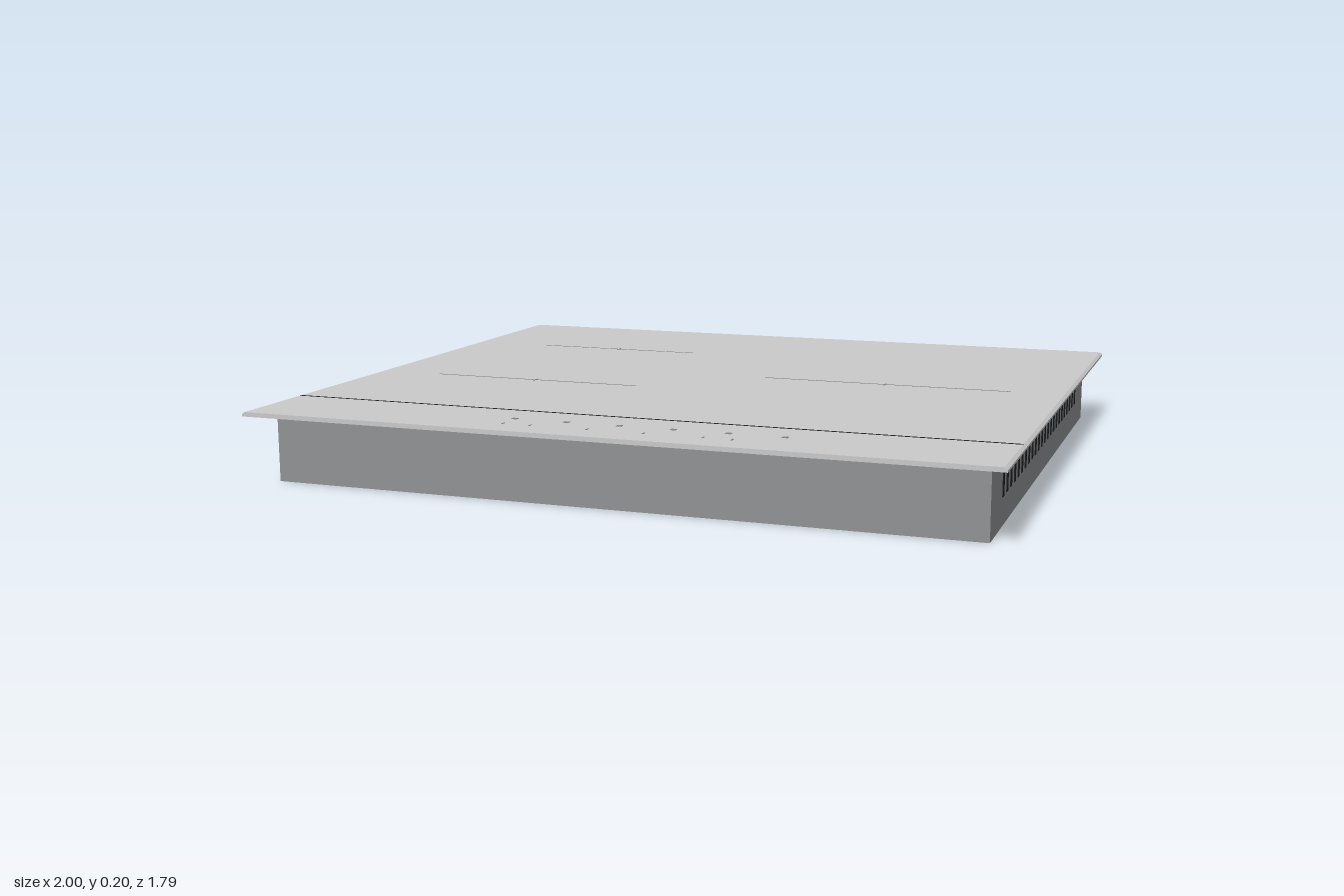
import * as THREE from 'three';

export function createModel() {
  const model = new THREE.Group();
  model.name = 'cooktop';

  const mat = (name, color) => {
    const m = new THREE.MeshStandardMaterial({ color });
    m.name = name;
    return m;
  };
  const glass = mat('light grey glass', 0xcacaca);
  const steel = mat('grey steel', 0x909294);
  const dark = mat('dark slot', 0x202224);
  const print = mat('grey print', 0x85868a);

  const add = (parent, name, geometry, material, x = 0, y = 0, z = 0) => {
    const mesh = new THREE.Mesh(geometry, material);
    mesh.name = name;
    mesh.position.set(x, y, z);
    parent.add(mesh);
    return mesh;
  };
  const group = (name) => {
    const g = new THREE.Group();
    g.name = name;
    model.add(g);
    return g;
  };

  // Housing below the worktop
  const bodyW = 1.9, bodyH = 0.188, bodyD = 1.62;
  add(model, 'housing', new THREE.BoxGeometry(bodyW, bodyH, bodyD), steel, 0, bodyH / 2, 0);

  // Glass plate with finely bevelled left and right edges
  const top = 0.2, depth = 1.79;
  const profile = new THREE.Shape([
    [-1, bodyH], [1, bodyH], [1, top - 0.006], [0.992, top], [-0.992, top], [-1, top - 0.006],
  ].map(([x, y]) => new THREE.Vector2(x, y)));
  const plate = new THREE.ExtrudeGeometry(profile, { depth, bevelEnabled: false });
  add(model, 'glassPlate', plate, glass, 0, 0, -depth / 2);

  // Rows of ventilation slots on both sides
  const slot = new THREE.BoxGeometry(0.004, 0.072, 0.019);
  for (const side of [1, -1]) {
    const vents = group(side > 0 ? 'leftVents' : 'rightVents');
    for (let i = 0; i < 24; i++) {
      add(vents, 'ventSlot', slot, dark, side * bodyW / 2, 0.11, 0.65 - i * 0.0554);
    }
  }

  // Flat markings lying on the glass
  const mark = (parent, name, w, d, x, z, material = print) =>
    add(parent, name, new THREE.BoxGeometry(w, 0.002, d), material, x, top, z);

  // Line dividing the control strip from the cooking area
  mark(model, 'dividingLine', 1.984, 0.005, 0, 0.635, dark);

  // Cooking zone crosses: centre x, centre z, line length
  const zones = group('cookingZones');
  for (const [x, z, length] of [[-0.493, -0.445, 0.52], [-0.493, 0.187, 0.625], [0.485, -0.07, 0.72]]) {
    mark(zones, 'zoneLine', length, 0.003, x, z);
    mark(zones, 'zoneTick', 0.003, 0.03, x, z);
  }

  // Touch controls
  const controls = group('touchControls');
  for (let i = 0; i < 6; i++) mark(controls, 'touchKey', 0.015, 0.015, -0.286 + i * 0.1444, 0.743);
  for (const x of [-0.286, -0.211, -0.056, 0.094, 0.249, 0.324]) {
    mark(controls, 'keyTick', 0.004, 0.015, x, 0.81);
  }

  return model;
}
